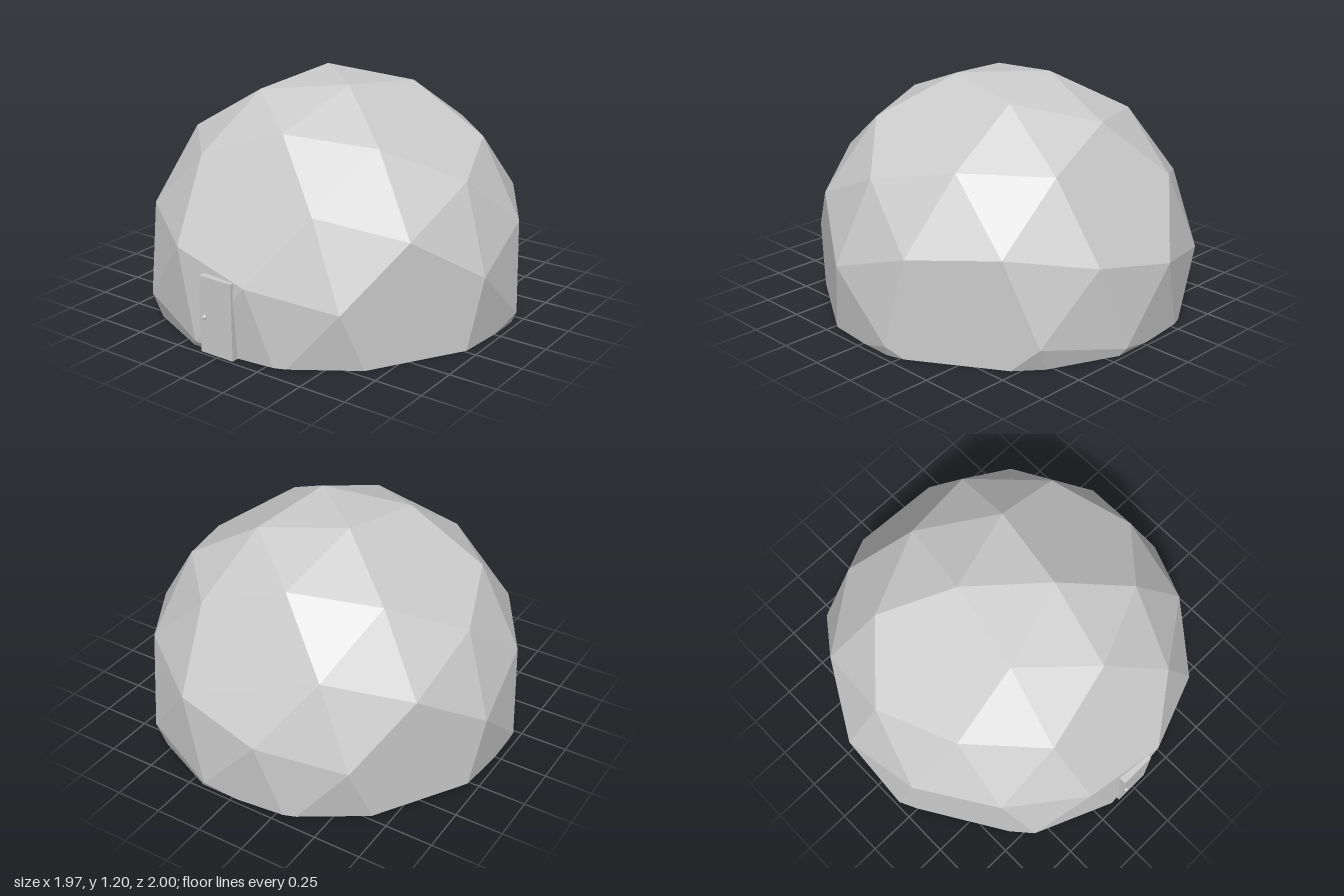
import * as THREE from 'three';
import { ConvexGeometry } from 'three/addons/geometries/ConvexGeometry.js';

const EDGE = 0.4707;                                  // edge length of the faceted dome
const CENTRE = new THREE.Vector3(0, 0.213, -0.013);   // centre of the full solid

// The 60 corners of a snub dodecahedron: one seed corner turned by every icosahedral rotation
function snubCorners() {
  const seed = new THREE.Vector3(0.374822, 2.097054, 0.330921);
  const fiveFold = new THREE.Vector3(0, 1, (1 + Math.sqrt(5)) / 2).normalize();
  const threeFold = new THREE.Vector3(1, 1, 1).normalize();
  const halfTurns = [[1, 1, 1], [1, -1, -1], [-1, 1, -1], [-1, -1, 1]];
  const corners = [];
  for (let i = 0; i < 5; i++) {
    for (let j = 0; j < 3; j++) {
      for (const signs of halfTurns) {
        corners.push(seed.clone()
          .applyAxisAngle(fiveFold, i * Math.PI * 2 / 5)
          .applyAxisAngle(threeFold, j * Math.PI * 2 / 3)
          .multiply(new THREE.Vector3(...signs))
          .multiplyScalar(EDGE).add(CENTRE));
      }
    }
  }
  return corners;
}

// Keep what lies above the ground and add a corner wherever an edge crosses it
function domeGeometry() {
  const corners = snubCorners();
  const above = corners.filter(p => p.y > 0);
  const below = corners.filter(p => p.y <= 0);
  const points = [...above];
  for (const a of above) {
    for (const b of below) {
      if (a.distanceTo(b) < EDGE * 1.05) {
        const cut = a.clone().lerp(b, a.y / (a.y - b.y));
        cut.y = 0;
        points.push(cut);
      }
    }
  }
  return new ConvexGeometry(points);
}

export function createModel() {
  const group = new THREE.Group();
  const flat = new THREE.MeshStandardMaterial({ color: 0xcccccc, flatShading: true });
  const smooth = new THREE.MeshStandardMaterial({ color: 0xcccccc });

  const add = (name, geometry, material, x, y, z) => {
    const mesh = new THREE.Mesh(geometry, material);
    mesh.name = name;
    mesh.position.set(x, y, z);
    group.add(mesh);
  };

  // Dome shell with flat floor
  add('dome', domeGeometry(), flat, 0, 0, 0);

  // Upright door slab and its round knob
  add('door', new THREE.BoxGeometry(0.196, 0.4, 0.055), flat, -0.011, 0.2, 0.9575);
  add('doorKnob', new THREE.SphereGeometry(0.012, 16, 12), smooth, -0.08, 0.19, 0.988);

  return group;
}
